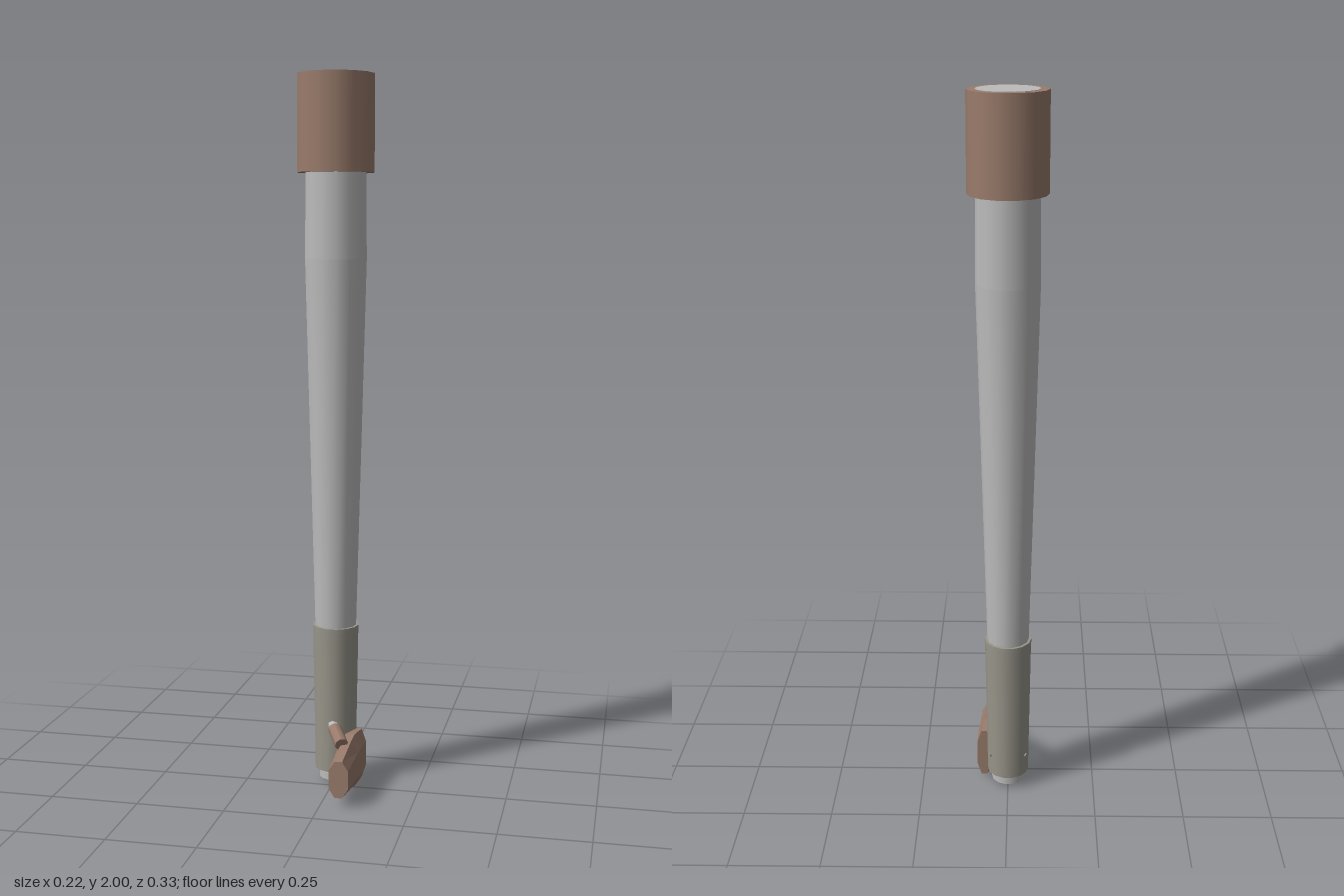
import * as THREE from 'three';

const mat = (name, color) => {
  const m = new THREE.MeshStandardMaterial({ color });
  m.name = name;
  return m;
};

export function createModel() {
  const group = new THREE.Group();
  const brown = mat('copper brown', 0x9a7c6c);
  const grey = mat('light grey', 0xbcbcbc);
  const taupe = mat('taupe grey', 0x98958a);
  const axisZ = -0.056;

  const add = (name, geometry, material) => {
    const mesh = new THREE.Mesh(geometry, material);
    mesh.name = name;
    group.add(mesh);
    return mesh;
  };

  // Upright, slightly oval tapered section on the main axis
  const section = (name, y0, r0, y1, r1, material, sides = 14) => {
    const g = new THREE.CylinderGeometry(r1, r0, y1 - y0, sides, 1, false, Math.PI / 2);
    g.scale(1, 1, 1.05);
    return add(name, g.translate(0, (y0 + y1) / 2, axisZ), material);
  };

  // Round bar between two points
  const bar = (name, a, b, r0, r1, material, sides = 8) => {
    const from = new THREE.Vector3(...a), to = new THREE.Vector3(...b);
    const dir = to.clone().sub(from);
    const mesh = add(name, new THREE.CylinderGeometry(r1, r0, dir.length(), sides), material);
    mesh.position.copy(from).add(to).multiplyScalar(0.5);
    mesh.quaternion.setFromUnitVectors(new THREE.Vector3(0, 1, 0), dir.normalize());
    return mesh;
  };

  // Top sleeve and the end of the shaft flush inside it
  section('topSleeve', 1.735, 0.108, 1.999, 0.108, brown);
  section('shaftEnd', 1.99, 0.085, 2, 0.085, grey);

  // Long shaft: straight near the top, then tapering
  section('upperShaft', 1.5, 0.087, 1.74, 0.085, grey);
  section('lowerShaft', 0.45, 0.059, 1.5, 0.087, grey);

  // Lower sleeve with a thin lip
  section('lowerSleeve', 0.04, 0.059, 0.455, 0.066, taupe);
  section('sleeveLip', 0.452, 0.067, 0.463, 0.067, taupe);

  // Stepped fitting under the lower sleeve
  section('neck', 0.03, 0.034, 0.042, 0.034, grey);
  section('bottomFlange', 0.012, 0.047, 0.033, 0.047, grey);
  section('bottomNut', 0, 0.03, 0.014, 0.03, grey, 6);

  // Flattened eight-sided spout lofted along z: [z, x, y, half width, half height]
  const stations = [
    [-0.05, 0.07, 0.085, 0.02, 0.072],
    [0.0, 0.06, 0.085, 0.029, 0.076],
    [0.018, 0.056, 0.085, 0.033, 0.076],
    [0.045, 0.055, 0.085, 0.031, 0.07],
    [0.165, 0.054, 0.081, 0.027, 0.052],
  ];
  const outline = [[1, -0.5], [1, 0.5], [0.4, 1], [-0.4, 1], [-1, 0.5], [-1, -0.5], [-0.4, -1], [0.4, -1]];
  const n = outline.length, last = stations.length - 1;
  const pos = [], idx = [];
  for (const [z, x, y, w, h] of stations) {
    for (const [u, v] of outline) pos.push(x + u * w, y + v * h, z);
  }
  for (let i = 0; i < last; i++) {
    for (let j = 0; j < n; j++) {
      const k = (j + 1) % n, a = i * n, b = a + n;
      idx.push(a + j, a + k, b + k, a + j, b + k, b + j);
    }
  }
  for (let j = 1; j < n - 1; j++) {
    idx.push(0, j + 1, j);
    idx.push(last * n, last * n + j, last * n + j + 1);
  }
  const indexed = new THREE.BufferGeometry();
  indexed.setAttribute('position', new THREE.Float32BufferAttribute(pos, 3));
  indexed.setIndex(idx);
  const spout = indexed.toNonIndexed();
  spout.computeVertexNormals();
  add('spout', spout, brown);

  // Small angled lever on the front of the lower sleeve
  bar('lever', [0.012, 0.175, 0.015], [0.045, 0.152, 0.078], 0.019, 0.019, brown);
  bar('leverTip', [0.0, 0.184, -0.008], [0.014, 0.174, 0.018], 0.015, 0.015, grey);

  // Tiny rivets around the lower sleeve
  for (const side of [-1, 1]) {
    bar('rivet', [side * 0.05, 0.1, axisZ - 0.03], [side * 0.055, 0.1, axisZ - 0.034], 0.006, 0.006, taupe);
  }

  return group;
}
